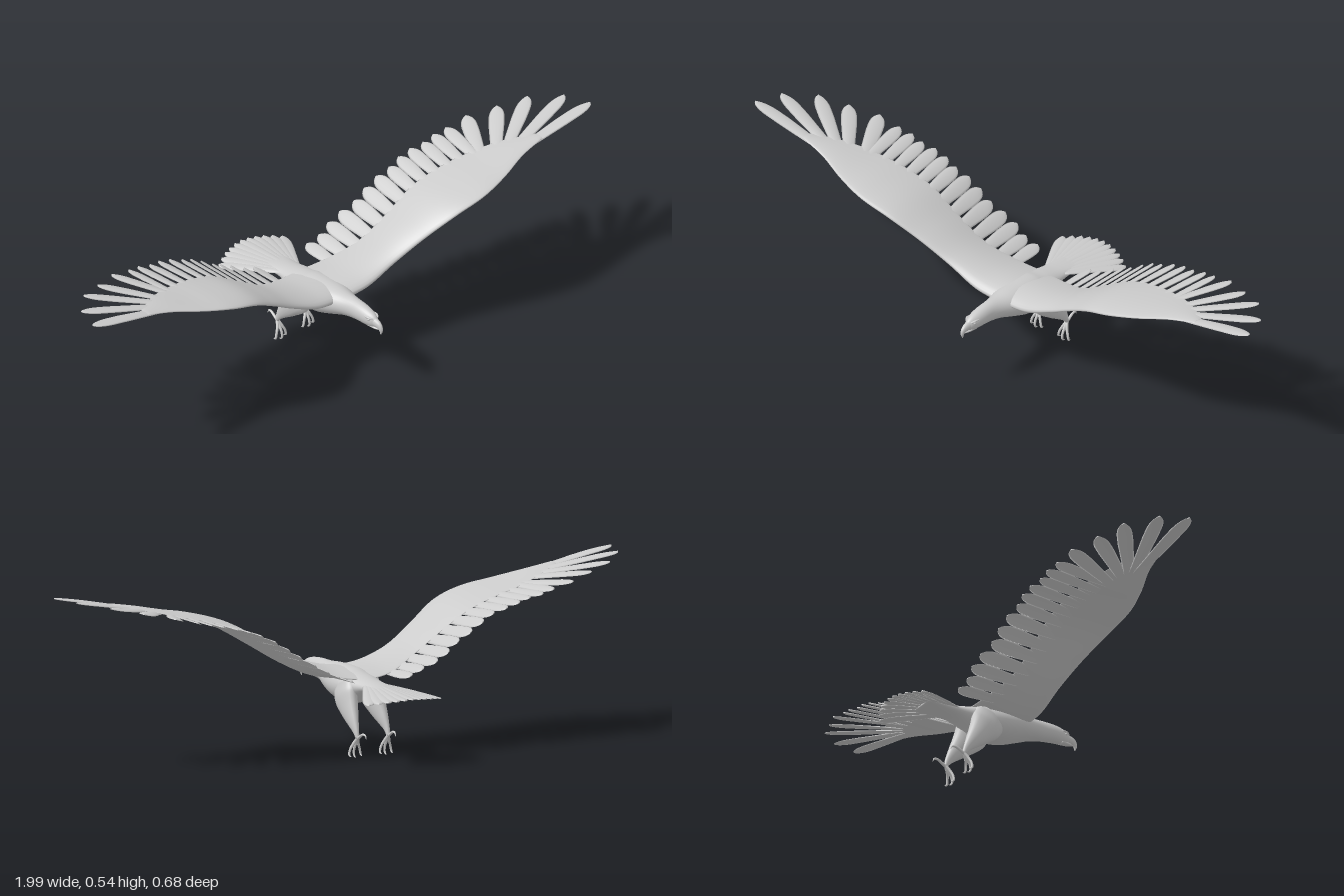
import * as THREE from 'three';

const grey = new THREE.MeshStandardMaterial({ color: 0xcccccc });
const white = new THREE.MeshStandardMaterial({ color: 0xffffff });
const V = (x, y, z) => new THREE.Vector3(x, y, z);

// Smooth interpolation through evenly spaced values, u in index units
function spline(a, u) {
  const i = Math.max(0, Math.min(a.length - 2, Math.floor(u))), t = u - i;
  const p1 = a[i], p2 = a[i + 1];
  const p0 = i > 0 ? a[i - 1] : 2 * p1 - p2;
  const p3 = i + 2 < a.length ? a[i + 2] : 2 * p2 - p1;
  return p1 + 0.5 * t * (p2 - p0 + t * (2 * p0 - 5 * p1 + 4 * p2 - p3 + t * (3 * (p1 - p2) + p3 - p0)));
}

// Closed skin over a list of rings, wound so that it faces outward
function loft(rings) {
  const n = rings[0].length, m = rings.length, pts = rings.flat(), idx = [];
  for (let r = 0; r < m - 1; r++) for (let k = 0; k < n; k++) {
    const a = r * n + k, b = r * n + (k + 1) % n;
    idx.push(a, b, a + n, b, b + n, a + n);
  }
  for (const [r, flip] of [[0, true], [m - 1, false]]) {
    const c = pts.length;
    pts.push(rings[r].reduce((s, p) => s.add(p), V(0, 0, 0)).divideScalar(n));
    for (let k = 0; k < n; k++) {
      const a = r * n + k, b = r * n + (k + 1) % n;
      idx.push(c, flip ? b : a, flip ? a : b);
    }
  }
  let volume = 0;
  const cross = V(0, 0, 0);
  for (let i = 0; i < idx.length; i += 3) volume += pts[idx[i]].dot(cross.crossVectors(pts[idx[i + 1]], pts[idx[i + 2]]));
  if (volume < 0) idx.reverse();
  const g = new THREE.BufferGeometry().setFromPoints(pts);
  g.setIndex(idx);
  g.computeVertexNormals();
  return g;
}

// Tapered organic form: rows are [x, y, z, radius across, radius upright]
function limb(rows, steps, sides) {
  const at = (u) => rows[0].map((_, c) => spline(rows.map((r) => r[c]), u));
  const rings = [], end = rows.length - 1;
  for (let i = 0; i <= steps; i++) {
    const u = (i / steps) * end, [x, y, z, rx, ry] = at(u);
    const a = at(Math.max(0, u - 0.05)), b = at(Math.min(end, u + 0.05));
    const dir = V(b[0] - a[0], b[1] - a[1], b[2] - a[2]).normalize();
    const side = V(1, 0, 0).addScaledVector(dir, -dir.x).normalize();
    const up = V(0, 0, 0).crossVectors(dir, side);
    rings.push(Array.from({ length: sides }, (_, k) => {
      const t = (k / sides) * Math.PI * 2;
      return V(x, y, z).addScaledVector(side, Math.cos(t) * rx).addScaledVector(up, Math.sin(t) * ry);
    }));
  }
  return loft(rings);
}

// Thin round-ended feather between two [x, z] points lying on the surface height(x, z)
function feather(base, tip, half, height, tilt = 0) {
  const dx = tip[0] - base[0], dz = tip[1] - base[1], len = Math.hypot(dx, dz);
  const rings = [], steps = 16, sides = 10;
  for (let i = 0; i <= steps; i++) {
    const t = Math.sin((i / steps) * Math.PI / 2);
    const round = t > 0.78 ? Math.sqrt(Math.max(0.003, 1 - ((t - 0.78) / 0.22) ** 2)) : 1;
    const w = half * (0.65 + 0.35 * Math.min(1, t * 1.6)) * round;
    rings.push(Array.from({ length: sides }, (_, k) => {
      const a = (k / sides) * Math.PI * 2, c = Math.cos(a);
      const x = base[0] + dx * t - (dz / len) * c * w, z = base[1] + dz * t + (dx / len) * c * w;
      const thick = 0.0035 * (1 - 0.6 * t);
      return V(x, height(x, z) + Math.sin(a) * thick + tilt * c * w - 0.003 * c * c, z);
    }));
  }
  return loft(rings);
}

// Wing tables, one value every 0.1 along x
const SPINE = [0.235, 0.25, 0.292, 0.352, 0.41, 0.443, 0.465, 0.488, 0.508, 0.528, 0.545];
const LEAD = [0.15, 0.157, 0.16, 0.185, 0.218, 0.23, 0.21, 0.178, 0.162];
const TRAIL = [-0.065, -0.045, -0.01, 0, 0, 0.01, 0.03, 0.07, 0.135];
const THICK = [0.03, 0.029, 0.023, 0.02, 0.018, 0.014, 0.01, 0.008, 0.004];
const FEATHER_END = [-0.14, -0.147, -0.153, -0.14, -0.132, -0.13, -0.122, -0.1];
const wingY = (x) => spline(SPINE, Math.abs(x) * 10);

function wingSurface(s) {
  const rings = [];
  for (let i = 0; i <= 48; i++) {
    const x = (i / 48) * 0.79, u = x * 10;
    const lead = spline(LEAD, u), trail = spline(TRAIL, u), th = spline(THICK, u);
    rings.push(Array.from({ length: 28 }, (_, k) => {
      const a = (k / 28) * Math.PI * 2, f = (1 + Math.cos(a)) / 2;
      const body = Math.sin(a) * th * (0.25 + 0.75 * f);
      return V(s * x, wingY(x) + body + 0.25 * th * Math.sin(f * Math.PI), trail + (lead - trail) * f);
    }));
  }
  return loft(rings);
}

export function createModel() {
  const model = new THREE.Group();
  model.name = 'flyingEagle';
  const add = (parent, name, geometry, material = grey) => {
    const mesh = new THREE.Mesh(geometry, material);
    mesh.name = name;
    parent.add(mesh);
    return mesh;
  };
  const group = (name) => {
    const g = new THREE.Group();
    g.name = name;
    model.add(g);
    return g;
  };

  // Head, neck, trunk and tail root in one smooth form
  add(model, 'body', limb([
    [0, 0.228, 0.312, 0.008, 0.014], [0, 0.229, 0.3, 0.015, 0.021], [0, 0.2315, 0.28, 0.021, 0.0265],
    [0, 0.234, 0.25, 0.025, 0.03], [0, 0.233, 0.21, 0.028, 0.033], [0, 0.229, 0.17, 0.038, 0.036],
    [0, 0.222, 0.12, 0.055, 0.046], [0, 0.212, 0.06, 0.065, 0.055], [0, 0.208, 0, 0.064, 0.053],
    [0, 0.214, -0.05, 0.053, 0.036], [0, 0.218, -0.1, 0.043, 0.021], [0, 0.218, -0.16, 0.045, 0.012],
    [0, 0.217, -0.22, 0.05, 0.004],
  ], 60, 28));

  // Hooked beak
  add(model, 'upperBeak', limb([
    [0, 0.23, 0.288, 0.015, 0.019], [0, 0.228, 0.31, 0.011, 0.015], [0, 0.223, 0.326, 0.008, 0.012],
    [0, 0.211, 0.334, 0.005, 0.007], [0, 0.196, 0.333, 0.001, 0.0015],
  ], 20, 14));
  add(model, 'lowerBeak', limb([
    [0, 0.213, 0.28, 0.014, 0.008], [0, 0.211, 0.308, 0.009, 0.005], [0, 0.211, 0.326, 0.003, 0.002],
  ], 10, 12));

  // Tail fan
  const tail = group('tail');
  const tailY = (x, z) => 0.232 + 0.077 * (z + 0.1) - 0.75 * x * x;
  for (let i = -5; i <= 5; i++) {
    const u = i / 5;
    add(tail, 'tailFeather', feather([0.03 * u, -0.11], [0.128 * u, -0.338 + 0.047 * u * u], 0.019,
      (x, z) => tailY(x, z) - 0.001 * Math.abs(i), 0.06));
  }

  for (const s of [1, -1]) {
    const side = s > 0 ? 'left' : 'right';

    // Eye and brow
    const eye = add(model, side + 'Eye', new THREE.SphereGeometry(0.0045, 14, 10), white);
    eye.position.set(s * 0.0155, 0.237, 0.293);
    add(model, side + 'Brow', limb([
      [s * 0.01, 0.241, 0.306, 0.002, 0.002], [s * 0.0165, 0.244, 0.293, 0.004, 0.003],
      [s * 0.018, 0.243, 0.272, 0.002, 0.002],
    ], 10, 8));

    // Wing with trailing flight feathers and spread primaries
    const wing = group(side + 'Wing');
    add(wing, 'wingSurface', wingSurface(s));
    const count = 13;
    for (let i = 0; i < count; i++) {
      const x = 0.105 + (i / (count - 1)) * 0.53, bx = x * 0.95;
      const end = spline(FEATHER_END, x * 10) + (i % 3 === 1 ? 0.008 : 0);
      add(wing, 'flightFeather', feather([s * bx, spline(TRAIL, bx * 10) + 0.06], [s * x, end], 0.0205, wingY, s * 0.1));
    }
    for (const [bx, bz, tx, tz] of [
      [0.61, 0.09, 0.71, -0.108], [0.65, 0.11, 0.8, -0.068], [0.67, 0.125, 0.89, -0.028],
      [0.68, 0.135, 0.968, 0.055], [0.68, 0.148, 0.997, 0.145],
    ]) add(wing, 'primaryFeather', feather([s * bx, bz], [s * tx, tz], 0.0245, wingY, s * 0.05));

    // Feathered thigh narrowing to the ankle
    const leg = group(side + 'Leg');
    add(leg, 'thigh', limb([
      [s * 0.042, 0.225, 0.005, 0.02, 0.05], [s * 0.046, 0.185, -0.012, 0.027, 0.056],
      [s * 0.05, 0.145, -0.04, 0.023, 0.04], [s * 0.053, 0.112, -0.066, 0.016, 0.025],
      [s * 0.055, 0.085, -0.086, 0.009, 0.013], [s * 0.055, 0.062, -0.098, 0.006, 0.006],
    ], 28, 18));

    // Three hanging toes and a raised hind toe, each ending in a claw
    for (const d of [-1, 0, 1]) {
      const x = (k) => s * (0.055 + d * k);
      add(leg, 'frontToe', limb([
        [x(0), 0.066, -0.099, 0.005, 0.005], [x(0.008), 0.047, -0.087, 0.0045, 0.005],
        [x(0.016), 0.03, -0.077 - 0.004 * d * d, 0.004, 0.004], [x(0.02), 0.014, -0.074 - 0.006 * d * d, 0.0035, 0.004],
        [x(0.02), 0.004 + 0.004 * d * d, -0.079 - 0.005 * d * d, 0.0025, 0.0025],
        [x(0.019), 0.002 + 0.004 * d * d, -0.087 - 0.004 * d * d, 0.0006, 0.0006],
      ], 20, 8));
    }
    add(leg, 'hindToe', limb([
      [s * 0.055, 0.06, -0.095, 0.005, 0.005], [s * 0.055, 0.07, -0.11, 0.0045, 0.0045],
      [s * 0.054, 0.078, -0.126, 0.004, 0.004], [s * 0.053, 0.077, -0.139, 0.003, 0.003],
      [s * 0.053, 0.066, -0.145, 0.0006, 0.0006],
    ], 20, 8));
  }
  return model;
}
